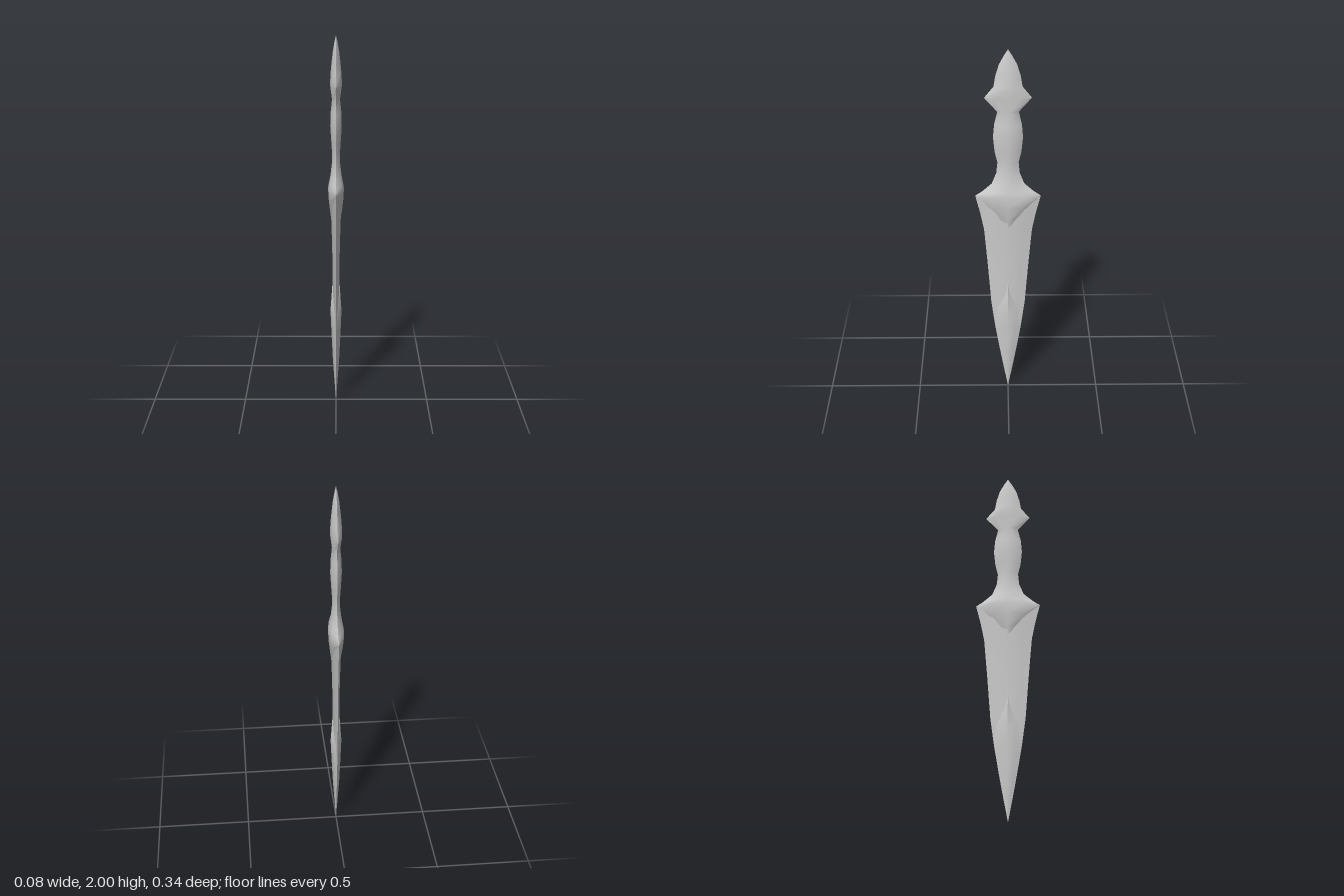
import * as THREE from 'three';
import { toCreasedNormals } from 'three/addons/utils/BufferGeometryUtils.js';

// Lofts eight-sided, sharp-edged sections given as rows of
// [y, half width in z, half thickness in x, shoulder thickness ratio], bottom to top.
function loft(rows) {
  const pos = [], index = [];
  for (const [y, w, t, m] of rows) {
    const s = 0.55 * w, k = t * m;
    const ring = [[0, w], [k, s], [t, 0], [k, -s], [0, -w], [-k, -s], [-t, 0], [-k, s]];
    for (const [x, z] of ring) pos.push(x, y, z);
  }
  for (let i = 0; i < rows.length - 1; i++) {
    for (let j = 0; j < 8; j++) {
      const a = i * 8 + j, b = i * 8 + (j + 1) % 8;
      if (rows[i][1] > 0) index.push(a, b, b + 8);
      if (rows[i + 1][1] > 0) index.push(a, b + 8, a + 8);
    }
  }
  const g = new THREE.BufferGeometry();
  g.setAttribute('position', new THREE.Float32BufferAttribute(pos, 3));
  g.setIndex(index);
  return toCreasedNormals(g.toNonIndexed(), 0.7);
}

export function createModel() {
  const model = new THREE.Group();
  model.name = 'dagger';
  const steel = new THREE.MeshStandardMaterial({ color: 0xcccccc });
  steel.name = 'pale steel';

  const add = (name, rows) => {
    const mesh = new THREE.Mesh(loft(rows), steel);
    mesh.name = name;
    model.add(mesh);
  };

  // Long tapering blade, almost flat
  add('blade', [
    [0, 0, 0, 0.5],
    [0.12, 0.023, 0.006, 0.5],
    [0.25, 0.046, 0.011, 0.5],
    [0.4, 0.071, 0.015, 0.5],
    [0.55, 0.091, 0.017, 0.5],
    [0.8, 0.11, 0.019, 0.55],
    [1.0, 0.127, 0.024, 0.6],
    [1.1, 0.147, 0.028, 0.6],
    [1.2, 0.172, 0.028, 0.6],
  ]);

  // Raised leaf-shaped point on the lower blade
  add('bladePoint', [
    [0, 0, 0, 0.5],
    [0.12, 0.0225, 0.009, 0.5],
    [0.25, 0.045, 0.018, 0.5],
    [0.4, 0.069, 0.025, 0.5],
    [0.52, 0.07, 0.03, 0.5],
    [0.6, 0.035, 0.024, 0.55],
    [0.66, 0.016, 0.02, 0.6],
    [0.72, 0, 0.017, 0.6],
  ]);

  // Flared guard, waisted grip and pointed pommel
  add('hilt', [
    [1.0, 0, 0.022, 0.7],
    [1.07, 0.07, 0.031, 0.75],
    [1.14, 0.13, 0.039, 0.75],
    [1.2, 0.172, 0.042, 0.75],
    [1.225, 0.135, 0.038, 0.78],
    [1.27, 0.085, 0.029, 0.8],
    [1.33, 0.061, 0.022, 0.82],
    [1.39, 0.055, 0.021, 0.82],
    [1.45, 0.069, 0.025, 0.82],
    [1.53, 0.077, 0.03, 0.82],
    [1.6, 0.071, 0.028, 0.82],
    [1.67, 0.055, 0.021, 0.82],
    [1.745, 0.121, 0.031, 0.75],
    [1.805, 0.073, 0.028, 0.78],
    [1.86, 0.064, 0.023, 0.75],
    [1.92, 0.046, 0.016, 0.7],
    [1.965, 0.022, 0.008, 0.7],
    [2.0, 0, 0, 0.7],
  ]);

  return model;
}
